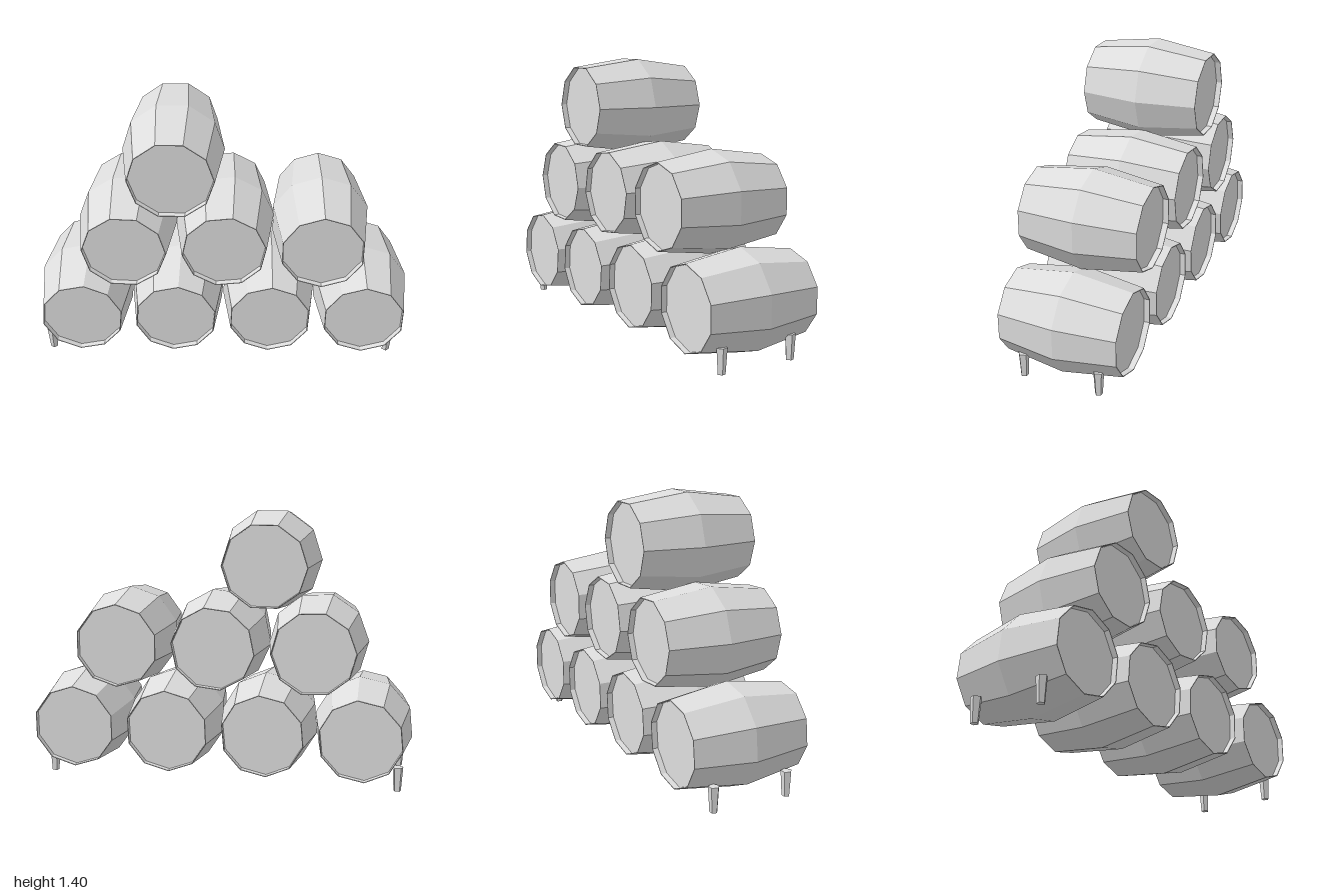
import * as THREE from 'three';

export function createModel() {
  const group = new THREE.Group();
  const grey = new THREE.MeshStandardMaterial({ color: 0xdddddd, flatShading: true });
  grey.name = 'light grey';

  // Ten-sided barrel lying along z, widest in the middle, with sunken heads and a thin rim
  const half = [[0, 0.28], [0.212, 0.28], [0.212, 0.31], [0.216, 0.31]];
  const profile = [
    ...half.map(([r, h]) => [r, -h]),
    [0.26, 0],
    ...half.slice().reverse(),
  ].map(([r, h]) => new THREE.Vector2(r, h));
  const barrelGeometry = new THREE.LatheGeometry(profile, 10);
  barrelGeometry.rotateX(Math.PI / 2);
  barrelGeometry.rotateZ(-Math.PI / 10); // puts a corner on +x

  // Stack of barrels: x, y and roll in degrees
  const stack = {
    bottomBarrel: [[-0.744, 0.286, 12], [-0.246, 0.286, 13], [0.253, 0.286, 15.6], [0.751, 0.286, 17.6]],
    middleBarrel: [[-0.5, 0.724, -2.5], [0.011, 0.73, 6.5], [0.512, 0.728, 18.4]],
    topBarrel: [[-0.25, 1.155, 0]],
  };
  for (const [row, barrels] of Object.entries(stack)) {
    barrels.forEach(([x, y, roll], i) => {
      const barrel = new THREE.Mesh(barrelGeometry, grey);
      barrel.name = `${row}${i + 1}`;
      barrel.position.set(x, y, 0);
      barrel.rotation.z = THREE.MathUtils.degToRad(roll);
      group.add(barrel);
    });
  }

  // Tapered pegs that chock the two outer barrels
  const pegGeometry = new THREE.CylinderGeometry(0.028, 0.02, 0.127, 5);
  pegGeometry.translate(0, 0.0635, 0);
  for (const [side, x] of [['right', -0.932], ['left', 0.901]]) {
    for (const [end, z] of [['Front', 0.21], ['Back', -0.193]]) {
      const peg = new THREE.Mesh(pegGeometry, grey);
      peg.name = `${side}${end}Peg`;
      peg.position.set(x, 0, z);
      group.add(peg);
    }
  }
  return group;
}
